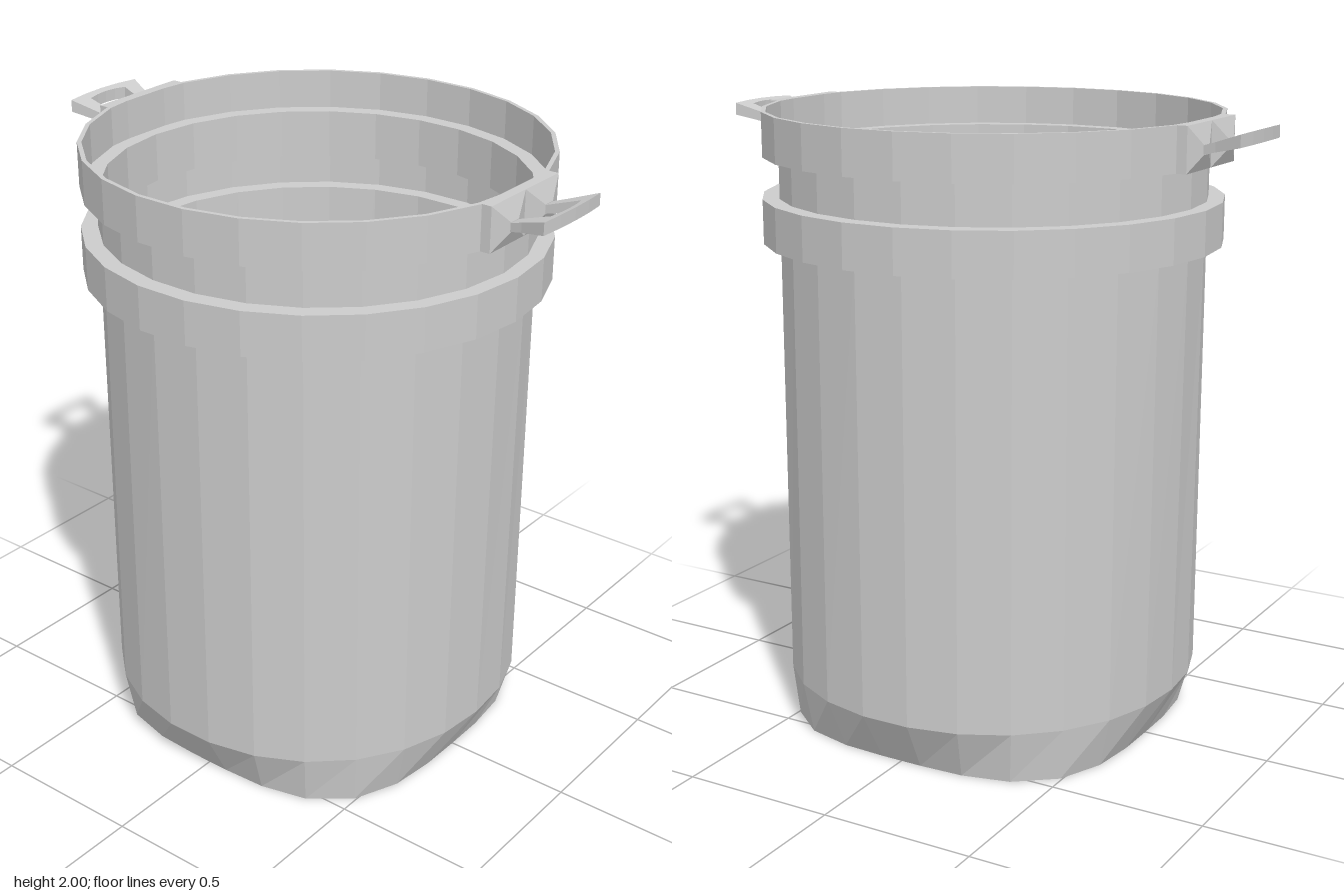
import * as THREE from 'three';

const SIDES = 26;
const material = new THREE.MeshStandardMaterial({ color: 0xcccccc, flatShading: true });

// Point on a superellipse: power 2 is an ellipse, higher is a rounded square
function ringPoint(i, [y, rx, rz, power = 2]) {
  const a = (i / SIDES) * Math.PI * 2;
  const s = Math.sin(a), c = Math.cos(a);
  const r = (Math.abs(s / rx) ** power + Math.abs(c / rz) ** power) ** (-1 / power);
  return [r * s, y, r * c];
}

// Skins rings in order; a ring of null radius closes to a centre point
function loft(rings) {
  const pos = [], index = [];
  for (const ring of rings)
    for (let i = 0; i < SIDES; i++) pos.push(...(ring[1] ? ringPoint(i, ring) : [0, ring[0], 0]));
  for (let k = 0; k < rings.length - 1; k++)
    for (let i = 0; i < SIDES; i++) {
      const j = (i + 1) % SIDES;
      const a = k * SIDES + i, b = k * SIDES + j, c = a + SIDES, d = b + SIDES;
      if (rings[k][1]) index.push(a, b, d);
      if (rings[k + 1][1]) index.push(a, d, c);
    }
  const g = new THREE.BufferGeometry();
  g.setAttribute('position', new THREE.Float32BufferAttribute(pos, 3));
  g.setIndex(index);
  const flat = g.toNonIndexed();
  flat.computeVertexNormals();
  return flat;
}

// Box whose far end (+z) is another rectangle: [x0, x1, y0, y1, z]
function taperedBlock(near, far) {
  const g = new THREE.BoxGeometry(1, 1, 1).toNonIndexed();
  const p = g.attributes.position;
  for (let i = 0; i < p.count; i++) {
    const e = p.getZ(i) > 0 ? far : near;
    p.setXYZ(i, p.getX(i) > 0 ? e[1] : e[0], p.getY(i) > 0 ? e[3] : e[2], e[4]);
  }
  g.computeVertexNormals();
  return g;
}

function add(parent, name, geometry) {
  const mesh = new THREE.Mesh(geometry, material);
  mesh.name = name;
  parent.add(mesh);
  return mesh;
}

// U-shaped loop, drawn in plan, then sloped upward and thickened outward
function loopGeometry() {
  const s = new THREE.Shape();
  s.moveTo(-0.11, 0.76);
  s.lineTo(-0.07, 0.76);
  s.lineTo(-0.08, 0.88);
  s.quadraticCurveTo(0, 0.9, 0.08, 0.88);
  s.lineTo(0.07, 0.76);
  s.lineTo(0.11, 0.76);
  s.lineTo(0.12, 0.81);
  s.lineTo(0.15, 0.9);
  s.quadraticCurveTo(0, 0.92, -0.15, 0.9);
  s.lineTo(-0.12, 0.81);
  s.closePath();
  const g = new THREE.ExtrudeGeometry(s, { depth: 1, bevelEnabled: false, curveSegments: 4 });
  const p = g.attributes.position;
  for (let i = 0; i < p.count; i++) {
    const z = p.getY(i), t = 1 - p.getZ(i), k = (z - 0.76) / 0.15;
    p.setXYZ(i, p.getX(i), 1.91 + 0.035 * k + t * (0.025 + 0.015 * k), z);
  }
  g.computeVertexNormals();
  return g;
}

function createClip(name) {
  const clip = new THREE.Group();
  clip.name = name;
  add(clip, 'clipPlate', taperedBlock([-0.175, 0.175, 1.86, 2, 0.71], [-0.175, 0.175, 1.86, 2, 0.745]));
  // Pyramid-like mounts under the two arms
  add(clip, 'leftMount', taperedBlock([0, 0.175, 1.86, 2, 0.745], [0.07, 0.11, 1.91, 1.94, 0.77]));
  add(clip, 'rightMount', taperedBlock([-0.175, 0, 1.86, 2, 0.745], [-0.11, -0.07, 1.91, 1.94, 0.77]));
  add(clip, 'clipLoop', loopGeometry());
  return clip;
}

export function createModel() {
  const model = new THREE.Group();
  model.name = 'bucket';

  // Outer wall from the floor up
  const outer = [
    [0, 0.58, 0.575, 3.3],
    [0.17, 0.675, 0.665, 2.1],
    [1.59, 0.675, 0.68],
    [1.59, 0.727, 0.735],
    [1.73, 0.727, 0.735],
    [1.73, 0.67, 0.685],
    [1.86, 0.67, 0.685],
    [1.86, 0.72, 0.735],
    [2, 0.72, 0.735],
  ];
  // Inner wall follows the outer steps at a thin offset
  const t = 0.014;
  const shift = [t, 0, t, t, -t, -t, t, t, 0];
  const inner = outer.map(([y, rx, rz, n], i) => [y + shift[i], rx - t, rz - t, n]).reverse();
  add(model, 'bucketBody', loft([[0, 0], ...outer, ...inner, [t, 0]]));

  // Clips on the front and back of the rim
  model.add(createClip('frontClip'));
  const back = createClip('backClip');
  back.rotation.y = Math.PI;
  model.add(back);
  return model;
}
